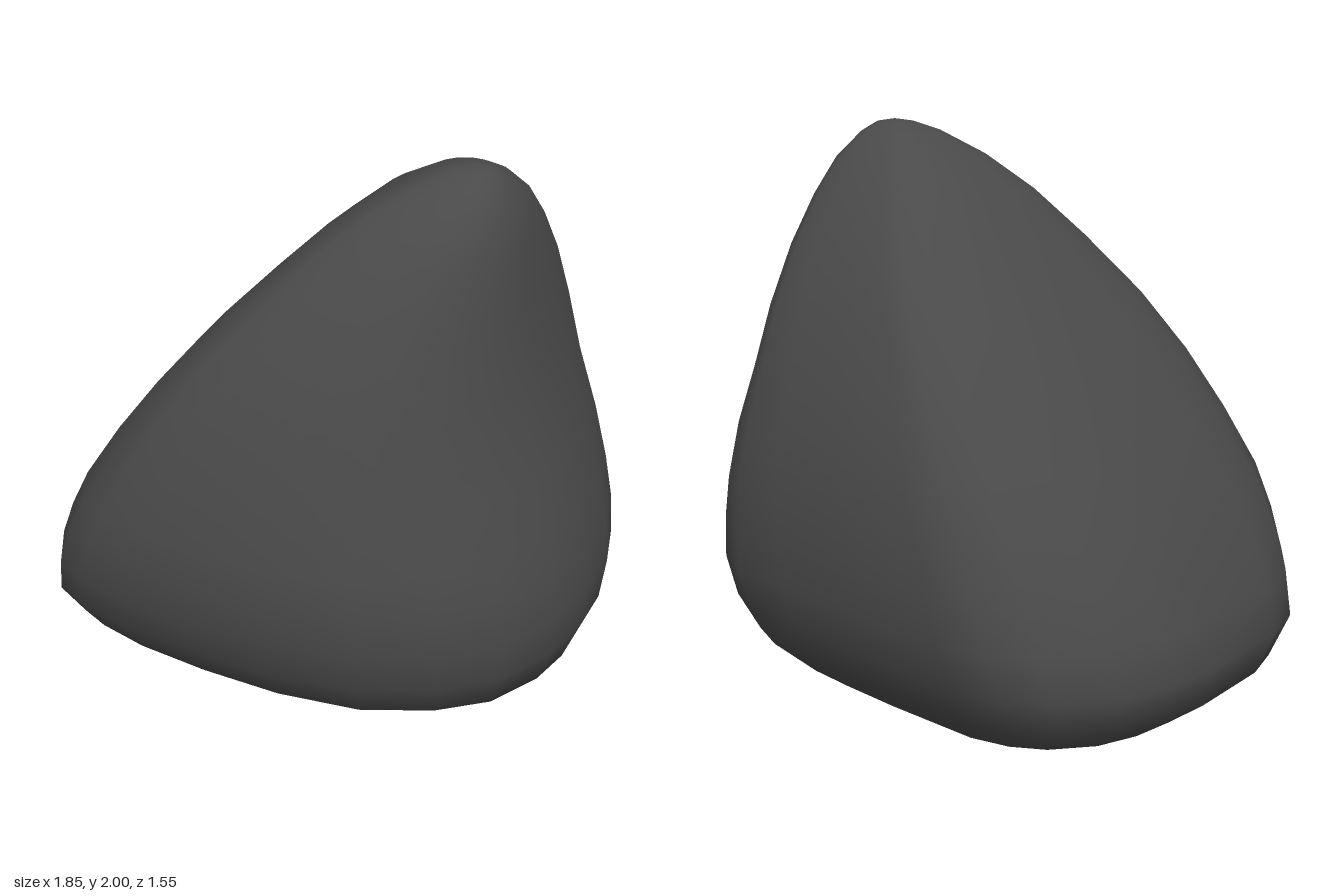
import * as THREE from 'three';

// Plan outline of the boulder at its widest, seen from above
const OUTLINE = [
  [-0.93, 0.02], [-0.92, -0.18], [-0.87, -0.38], [-0.75, -0.57], [-0.62, -0.67], [-0.45, -0.73],
  [0, -0.76], [0.3, -0.775], [0.53, -0.78], [0.69, -0.72], [0.82, -0.58], [0.9, -0.4],
  [0.93, -0.19], [0.92, 0], [0.85, 0.23], [0.71, 0.41], [0.49, 0.58], [0.2, 0.69],
  [-0.1, 0.75], [-0.38, 0.78], [-0.58, 0.77], [-0.7, 0.74], [-0.83, 0.59], [-0.89, 0.41],
];

// Level sections: height, min x, max x, min z, max z, roundness
const LEVELS = [
  [0.01, -0.28, 0.2, -0.26, 0.17, 0.5],
  [0.045, -0.55, 0.47, -0.44, 0.37, 0.3],
  [0.11, -0.76, 0.7, -0.58, 0.53, 0.1],
  [0.21, -0.89, 0.86, -0.67, 0.65, 0],
  [0.35, -0.93, 0.91, -0.74, 0.735, 0],
  [0.5, -0.88, 0.92, -0.775, 0.77, 0],
  [0.65, -0.81, 0.9, -0.775, 0.775, 0],
  [0.8, -0.73, 0.86, -0.77, 0.76, 0],
  [1.0, -0.6, 0.8, -0.74, 0.7, 0],
  [1.2, -0.45, 0.74, -0.68, 0.63, 0],
  [1.4, -0.29, 0.7, -0.61, 0.53, 0],
  [1.6, -0.11, 0.67, -0.51, 0.4, 0.05],
  [1.76, 0.04, 0.65, -0.4, 0.28, 0.15],
  [1.88, 0.18, 0.62, -0.3, 0.16, 0.3],
  [1.96, 0.32, 0.57, -0.2, 0.05, 0.5],
  [1.99, 0.4, 0.53, -0.14, -0.02, 0.7],
];

function rockGeometry() {
  const n = OUTLINE.length, positions = [], index = [];

  // Fit the outline to each level, easing it to an ellipse near the ends
  for (const [y, x0, x1, z0, z1, round] of LEVELS) {
    for (const [ox, oz] of OUTLINE) {
      const u = ox / 0.93, v = oz / 0.78;
      const k = 1 + (1 / Math.hypot(u, v) - 1) * round;
      positions.push((x0 + x1) / 2 + u * k * (x1 - x0) / 2, y, (z0 + z1) / 2 + v * k * (z1 - z0) / 2);
    }
  }
  const bottom = LEVELS.length * n, top = bottom + 1, last = bottom - n;
  positions.push(-0.04, 0, -0.05, 0.47, 2, -0.08);

  for (let i = 0; i < n; i++) {
    const j = (i + 1) % n;
    for (let r = 0; r < last; r += n) {
      index.push(r + i, r + n + i, r + j, r + j, r + n + i, r + n + j);
    }
    index.push(bottom, i, j, top, last + j, last + i);
  }

  const geometry = new THREE.BufferGeometry();
  geometry.setAttribute('position', new THREE.Float32BufferAttribute(positions, 3));
  geometry.setIndex(index);
  geometry.computeVertexNormals();
  return geometry;
}

export function createModel() {
  const group = new THREE.Group();
  group.name = 'boulder';
  const rock = new THREE.Mesh(rockGeometry(), new THREE.MeshStandardMaterial({ color: 0x4a4a4a }));
  rock.name = 'rock';
  group.add(rock);
  return group;
}
